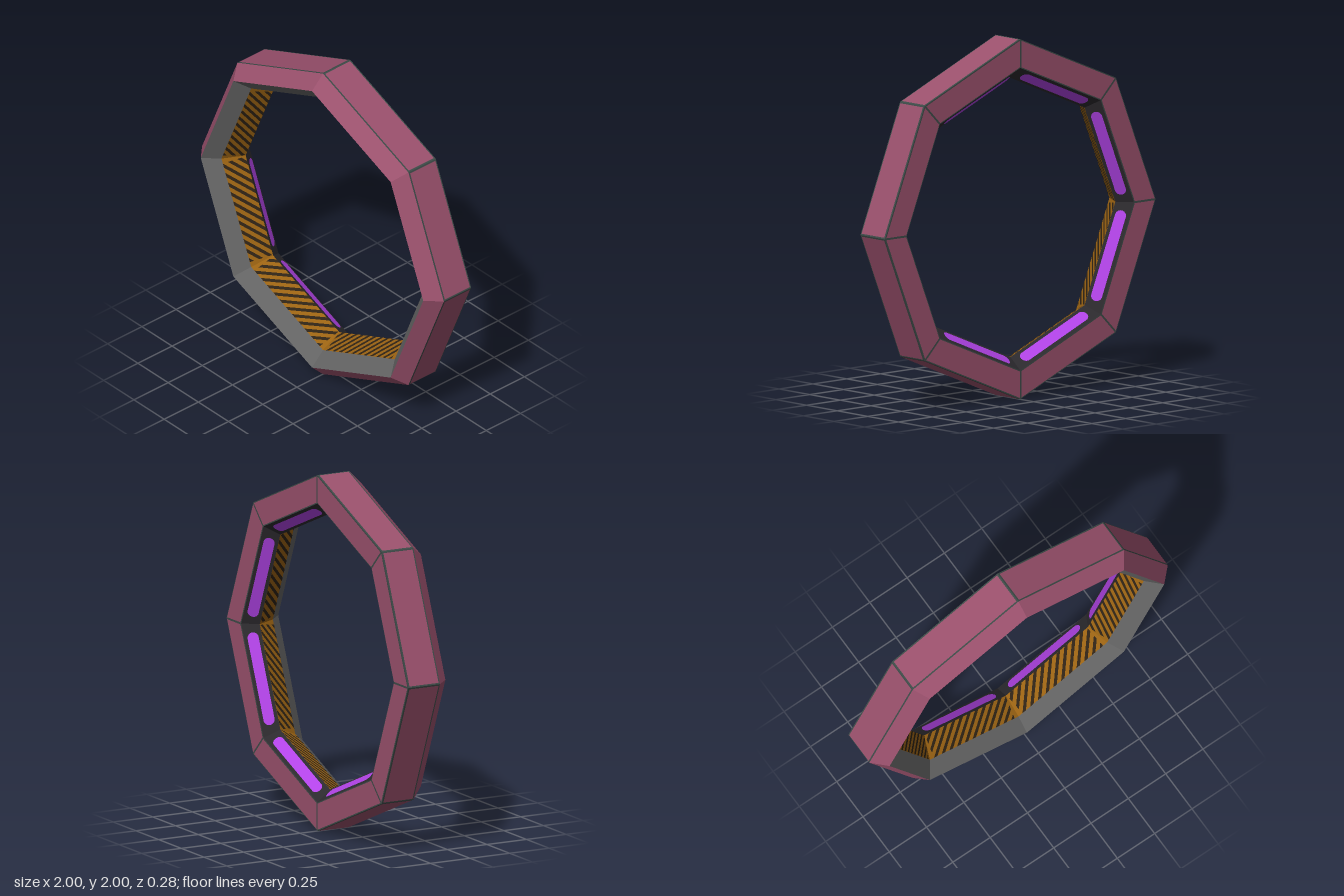
import * as THREE from 'three';

const SIDES = 8;
const HALF = Math.PI / SIDES;

const mat = (name, color) => {
  const m = new THREE.MeshStandardMaterial({ color });
  m.name = name;
  return m;
};

// Ring cross-section as [vertex radius, z], running from the front lip over the outside
const profile = {
  lip: [0.92, 0.14],
  outerFront: [1, 0.06],
  outerBack: [1, -0.14],
  backInner: [0.84, -0.14],
  waist: [0.775, -0.06],
  throat: [0.84, 0.06],
};

// One flat face of a segment: half-lengths, height, and the matrix onto its plane
function facet(a, b) {
  const start = new THREE.Vector3(0, a[0] * Math.cos(HALF), a[1]);
  const end = new THREE.Vector3(0, b[0] * Math.cos(HALF), b[1]);
  const up = end.clone().sub(start);
  const height = up.length();
  up.normalize();
  const along = new THREE.Vector3(1, 0, 0);
  const normal = along.clone().cross(up);
  const place = (shapes, lift = 0) => {
    const origin = start.clone().addScaledVector(normal, lift);
    const m = new THREE.Matrix4().makeBasis(along, up, normal).setPosition(origin);
    return new THREE.ShapeGeometry(shapes, 10).applyMatrix4(m);
  };
  return { w0: a[0] * Math.sin(HALF), w1: b[0] * Math.sin(HALF), height, place };
}

const polygon = (pts) => new THREE.Shape(pts.map(([x, y]) => new THREE.Vector2(x, y)));

// Trapezoid filling a facet, optionally inset from its edges
function trapezoid({ w0, w1, height }, inset = 0) {
  const slope = (w1 - w0) / height;
  const lo = w0 + slope * inset - inset;
  const hi = w1 - slope * inset - inset;
  return polygon([[-lo, inset], [lo, inset], [hi, height - inset], [-hi, height - inset]]);
}

// Rounded light strip centred on a facet
function capsule(length, width, cy) {
  const r = width / 2;
  const x = length / 2 - r;
  const s = new THREE.Shape();
  s.moveTo(-x, cy - r);
  s.lineTo(x, cy - r);
  s.absarc(x, cy, r, -Math.PI / 2, Math.PI / 2, false);
  s.lineTo(-x, cy + r);
  s.absarc(-x, cy, r, Math.PI / 2, Math.PI * 1.5, false);
  return s;
}

// Keep the part of a polygon where sign * x <= limit
function clip(pts, sign, limit) {
  const out = [];
  pts.forEach((p, i) => {
    const q = pts[(i + 1) % pts.length];
    const dp = sign * p[0] - limit;
    const dq = sign * q[0] - limit;
    if (dp <= 0) out.push(p);
    if (dp * dq < 0) {
      const t = dp / (dp - dq);
      out.push([p[0] + t * (q[0] - p[0]), p[1] + t * (q[1] - p[1])]);
    }
  });
  return out;
}

// Slanted warning stripes across a facet
function stripes({ w0, height }) {
  const pitch = 0.056, width = 0.025, slant = 0.14, limit = w0 - 0.004;
  const shapes = [];
  for (let x = -limit; x < limit + slant; x += pitch) {
    let pts = [[x - slant, 0], [x - slant + width, 0], [x + width, height], [x, height]];
    pts = clip(clip(pts, 1, limit), -1, limit);
    if (pts.length > 2) shapes.push(polygon(pts));
  }
  return shapes;
}

export function createModel() {
  const shell = mat('rose shell', 0x9a506c);
  const seam = mat('green grey seam', 0x3d4a47);
  const grey = mat('grey lining', 0x636363);
  const amber = mat('amber band', 0x9a6212);
  const dark = mat('dark stripe', 0x2e2214);
  const housing = mat('charcoal housing', 0x2c2a2e);
  const glow = mat('violet light', 0xb444ea);

  const p = profile;
  const bevel = facet(p.lip, p.outerFront);
  const outer = facet(p.outerFront, p.outerBack);
  const back = facet(p.outerBack, p.backInner);
  const recess = facet(p.backInner, p.waist);
  const band = facet(p.waist, p.throat);
  const lining = facet(p.throat, p.lip);

  // Parts of one segment: name, geometry, material
  const parts = [
    ['frontBevel', bevel.place(trapezoid(bevel)), shell],
    ['outerSeam', outer.place(trapezoid(outer)), seam],
    ['outerPanel', outer.place(trapezoid(outer, 0.008), 0.002), shell],
    ['backSeam', back.place(trapezoid(back)), seam],
    ['backPanel', back.place(trapezoid(back, 0.006), 0.002), shell],
    ['lightHousing', recess.place(trapezoid(recess)), housing],
    ['lightStrip', recess.place(capsule(0.52, 0.062, recess.height / 2), 0.003), glow],
    ['warningBand', band.place(trapezoid(band)), amber],
    ['warningStripes', band.place(stripes(band), 0.0015), dark],
    ['innerLining', lining.place(trapezoid(lining)), grey],
  ];

  const model = new THREE.Group();
  model.name = 'octagonalRing';
  for (let i = 0; i < SIDES; i++) {
    const segment = new THREE.Group();
    segment.name = `ringSegment${i + 1}`;
    for (const [name, geometry, material] of parts) {
      const mesh = new THREE.Mesh(geometry, material);
      mesh.name = name;
      segment.add(mesh);
    }
    segment.position.y = 1;
    segment.rotation.z = HALF * (2 * i + 1);
    model.add(segment);
  }
  return model;
}
